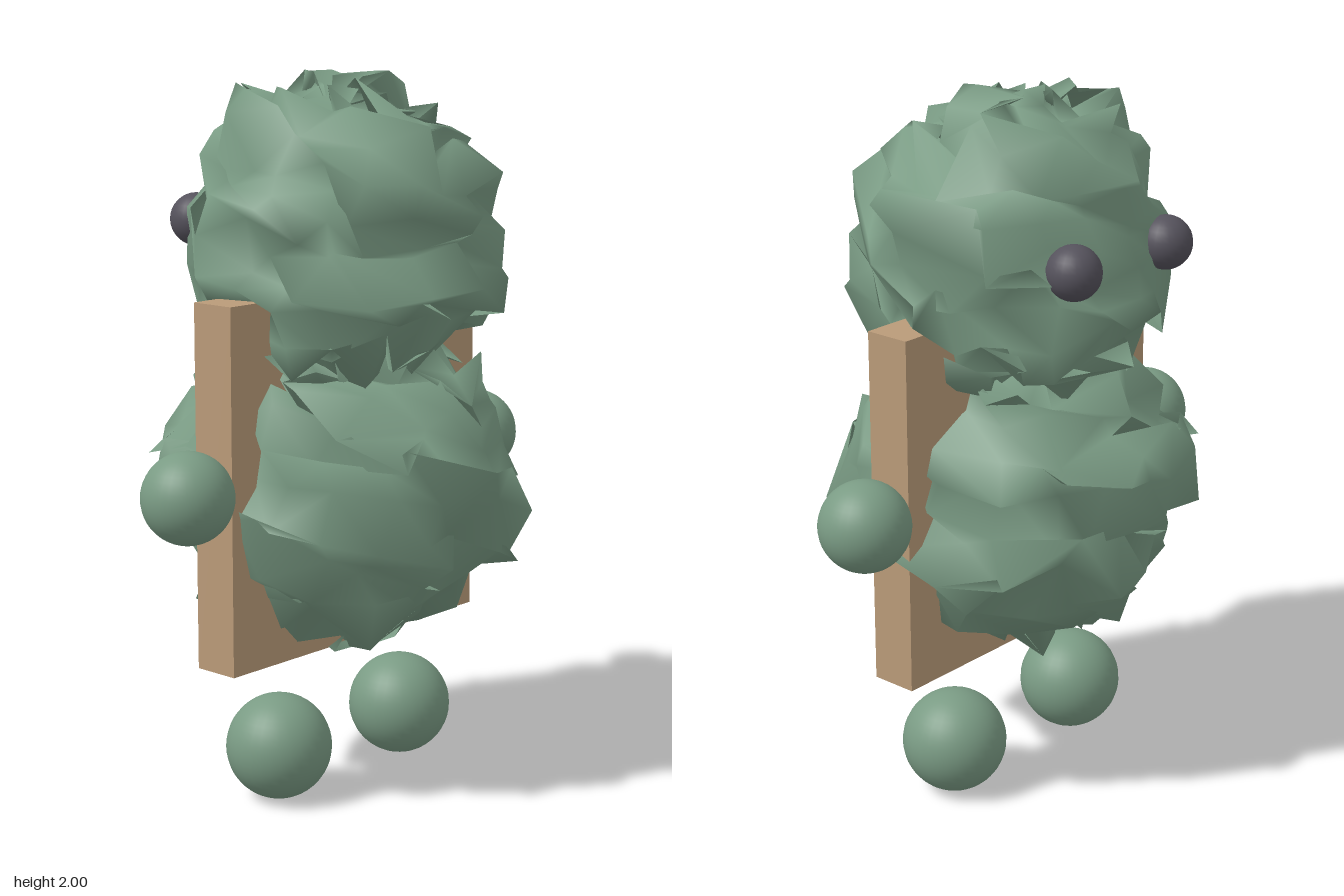
import * as THREE from 'three';
import { mergeVertices } from 'three/addons/utils/BufferGeometryUtils.js';

function material(name, color, side = THREE.FrontSide) {
  const m = new THREE.MeshStandardMaterial({ color, side });
  m.name = name;
  return m;
}

// Small seeded generator returning values from -1 to 1
function seeded(seed) {
  return () => {
    seed = (seed + 0x6d2b79f5) | 0;
    let t = Math.imul(seed ^ (seed >>> 15), 1 | seed);
    t = (t + Math.imul(t ^ (t >>> 7), 61 | t)) ^ t;
    return ((t ^ (t >>> 14)) >>> 0) / 2147483648 - 1;
  };
}

// Ragged ball: a welded, slightly flattened sphere whose vertices are scattered within minY to maxY
function shaggyBall(radius, height, scatter, seed, minY, maxY, calm = () => false) {
  let g = new THREE.SphereGeometry(radius, 20, 18);
  g.deleteAttribute('uv');
  g.deleteAttribute('normal');
  g = mergeVertices(g, 1e-4);
  g.scale(1, height / radius, 1);
  const p = g.attributes.position;
  const rand = seeded(seed);
  for (let i = 0; i < p.count; i++) {
    const [x, y, z] = [p.getX(i), p.getY(i), p.getZ(i)];
    const quiet = calm(x, y, z);
    const k = scatter * (quiet ? 0.35 : 1);
    const s = quiet ? 0.95 : 1;
    const newY = THREE.MathUtils.clamp(y + rand() * k, minY, maxY);
    p.setXYZ(i, x * s + rand() * k, newY, z * s + rand() * k);
  }
  g.computeVertexNormals();
  return g;
}

export function createModel() {
  const group = new THREE.Group();
  const fur = material('green fur', 0x7a9b84, THREE.DoubleSide);
  const wood = material('tan board', 0xba9b79);
  const dark = material('dark eyes', 0x55525c);

  function add(name, geometry, mat, x, y, z) {
    const mesh = new THREE.Mesh(geometry, mat);
    mesh.name = name;
    mesh.position.set(x, y, z);
    group.add(mesh);
  }

  // Upright board through the body
  add('board', new THREE.BoxGeometry(1, 1, 0.134), wood, 0, 0.915, 0);

  // Shaggy body and head; the face around the eyes is calmer
  add('body', shaggyBall(0.468, 0.435, 0.075, 5, -0.48, 0.46), fur, 0, 0.885, 0);
  const face = (x, y, z) => z < -0.25 && Math.abs(x) < 0.32 && Math.abs(y - 0.05) < 0.17;
  add('head', shaggyBall(0.432, 0.415, 0.075, 23, -0.45, 0.455, face), fur, -0.005, 1.545, 0);

  // Paired round parts
  for (const [side, s] of [['left', 1], ['right', -1]]) {
    add(side + 'Hand', new THREE.SphereGeometry(0.125, 32, 24), fur, s * 0.597, 0.915, 0);
    add(side + 'Foot', new THREE.SphereGeometry(0.148, 32, 24), fur, s * 0.257, 0.148, 0);
    add(side + 'Eye', new THREE.SphereGeometry(0.074, 24, 16), dark, s * 0.192, 1.588, -0.37);
  }
  return group;
}
